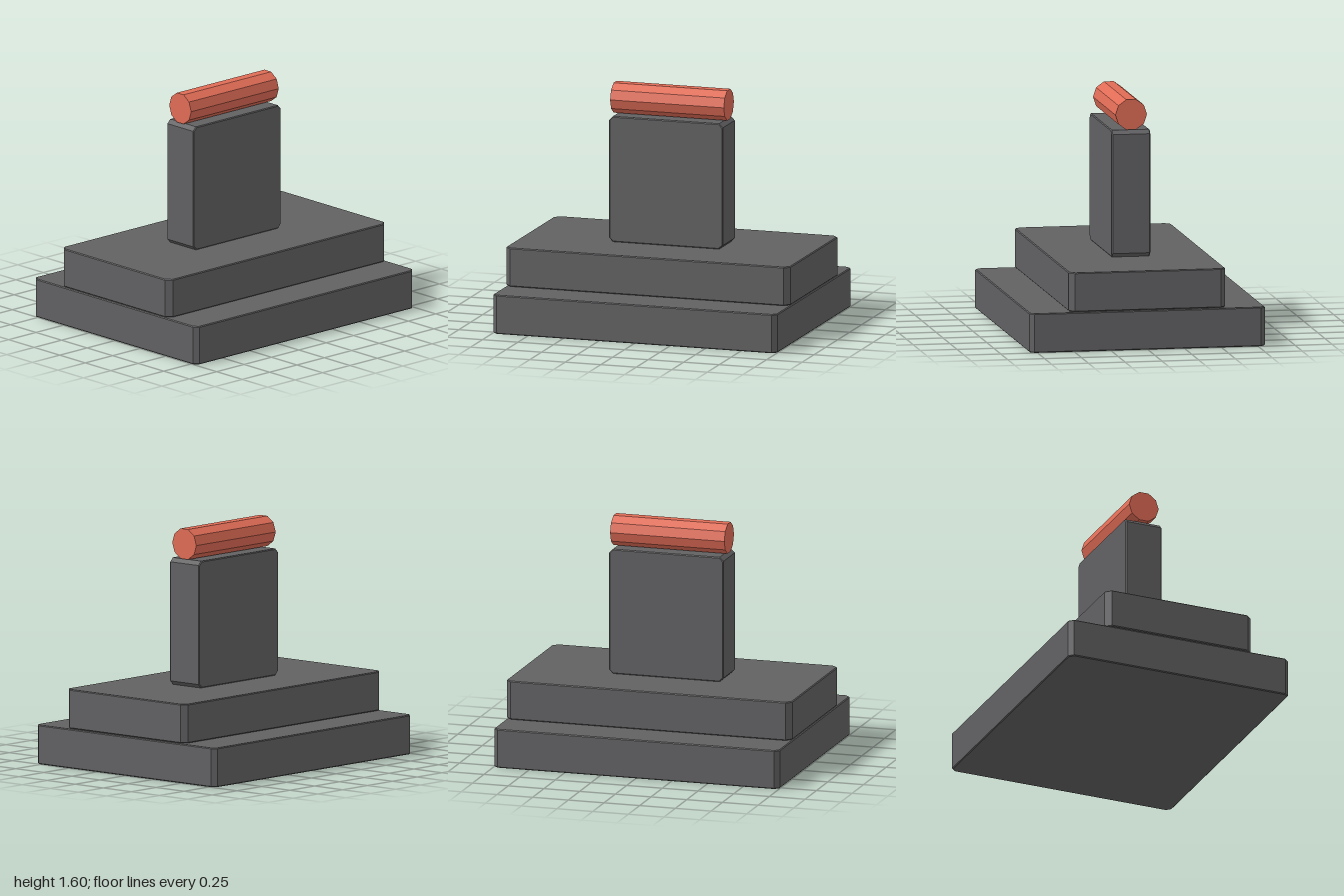
import * as THREE from 'three';

const grey = new THREE.MeshStandardMaterial({ name: 'darkGrey', color: 0x616163, flatShading: true });
const red = new THREE.MeshStandardMaterial({ name: 'coralRed', color: 0xe06c56, flatShading: true });

// Block with four cut corners (in XY) and a fine bevel, centred on the origin
function chamferedBlock(width, height, depth, cut, bevel = 0.006) {
  const x = width / 2 - bevel, y = height / 2 - bevel;
  const outline = new THREE.Shape([
    [x, y - cut], [x - cut, y], [-x + cut, y], [-x, y - cut],
    [-x, -y + cut], [-x + cut, -y], [x - cut, -y], [x, -y + cut],
  ].map(([a, b]) => new THREE.Vector2(a, b)));
  const core = depth - 2 * bevel;
  return new THREE.ExtrudeGeometry(outline, {
    depth: core, bevelEnabled: true, bevelSize: bevel, bevelThickness: bevel, bevelSegments: 1,
  }).translate(0, 0, -core / 2);
}

export function createModel() {
  const model = new THREE.Group();
  model.name = 'steppedPedestal';

  const add = (name, geometry, material, y) => {
    const mesh = new THREE.Mesh(geometry, material);
    mesh.name = name;
    mesh.position.y = y;
    model.add(mesh);
  };

  // Two stacked slabs, lying flat
  add('lowerSlab', chamferedBlock(2, 1.6, 0.265, 0.027).rotateX(-Math.PI / 2), grey, 0.1325);
  add('upperSlab', chamferedBlock(2, 1.064, 0.264, 0.034).rotateX(-Math.PI / 2), grey, 0.401);

  // Upright post
  add('post', chamferedBlock(0.8, 0.857, 0.262, 0.023), grey, 0.9615);

  // Ten-sided roller hovering just above the post
  add('roller', new THREE.CylinderGeometry(0.107, 0.107, 0.8, 10).rotateZ(Math.PI / 2), red, 1.496);

  return model;
}
